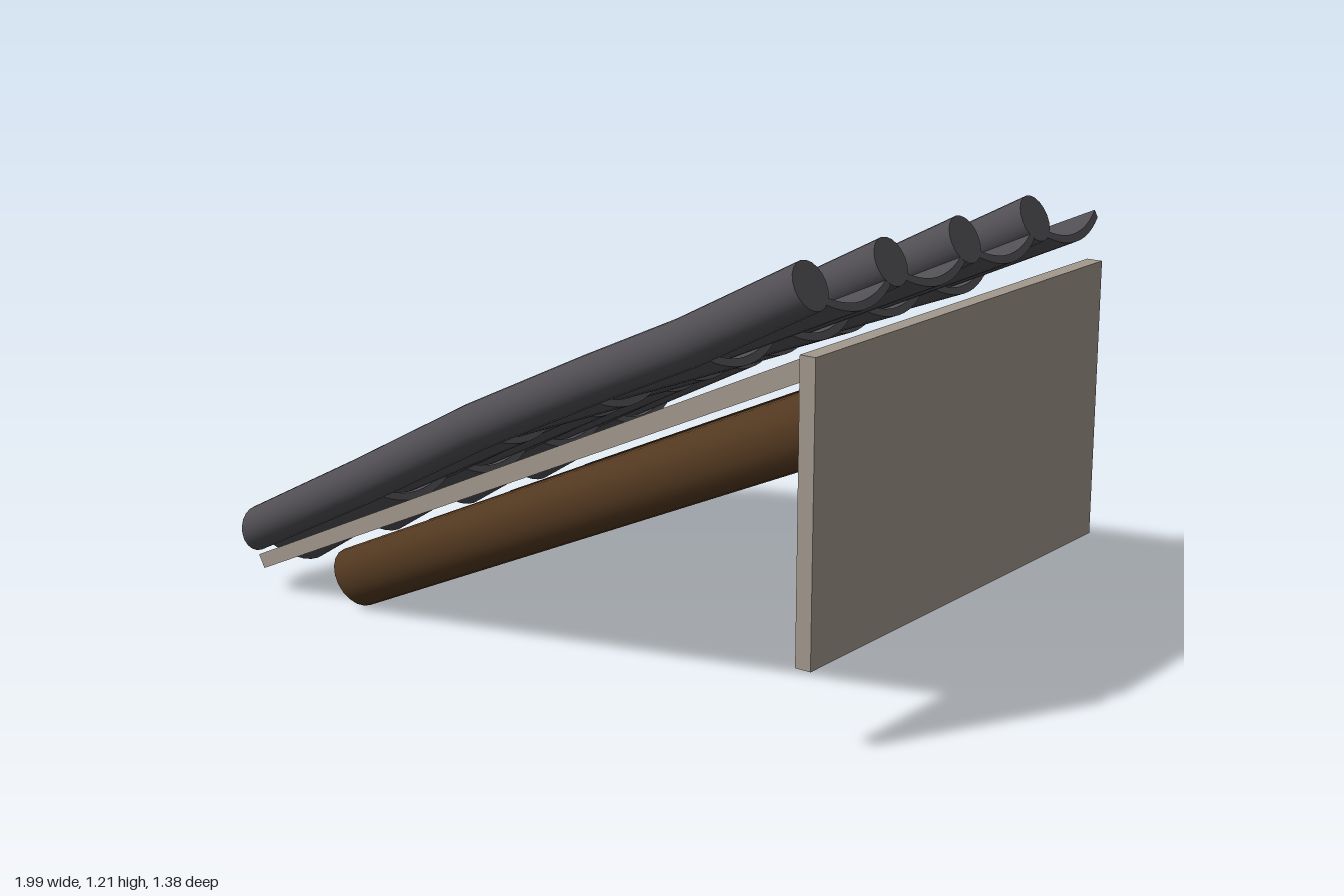
import * as THREE from 'three';
import { toCreasedNormals } from 'three/addons/utils/BufferGeometryUtils.js';

const tileMat = new THREE.MeshStandardMaterial({ name: 'slate tile', color: 0x504e53 });
const plasterMat = new THREE.MeshStandardMaterial({ name: 'pale board', color: 0xa3998e });
const woodMat = new THREE.MeshStandardMaterial({ name: 'dark wood', color: 0x523820 });

// Skins a list of stations running towards +x. Each station is
// { x, y, tilt, section }, where section lists [up, z] pairs, counter-clockwise seen from +x.
function loft(stations, crease = 0.7) {
  const pos = [], index = [], m = stations[0].section.length;
  for (const { x, y, tilt, section } of stations) {
    for (const [v, z] of section) pos.push(x - Math.sin(tilt) * v, y + Math.cos(tilt) * v, z);
  }
  for (let i = 0; i < stations.length - 1; i++) {
    for (let j = 0; j < m; j++) {
      const k = (j + 1) % m;
      const a = i * m + j, b = i * m + k, c = a + m, d = b + m;
      index.push(a, b, d, a, d, c);
    }
  }
  // End caps, bridged across the section
  const last = (stations.length - 1) * m;
  for (let j = 0; j < m / 2 - 1; j++) {
    const [a, b, c, d] = [j, j + 1, m - 2 - j, m - 1 - j];
    index.push(a, c, b, a, d, c);
    index.push(last + a, last + b, last + c, last + a, last + c, last + d);
  }
  const g = new THREE.BufferGeometry();
  g.setAttribute('position', new THREE.Float32BufferAttribute(pos, 3));
  g.setIndex(index);
  return toCreasedNormals(g, crease);
}

// Oval section: half height, half width
function oval(h, w, sides = 20) {
  return Array.from({ length: sides }, (_, i) => {
    const t = (i / sides) * Math.PI * 2;
    return [Math.cos(t) * h, Math.sin(t) * w];
  });
}

// Sagging pan tile section; extra thickens the middle of the underside
function pan(half, depth, extra = 0, n = 12) {
  const top = [], bottom = [];
  for (let i = 0; i <= n; i++) {
    const s = (i / n) * 2 - 1;
    top.push([depth * s * s + 0.022, s * half]);
    bottom.unshift([depth * s * s - extra * (1 - s * s), s * half]);
  }
  return [...top, ...bottom];
}

function add(group, name, geometry, material, z = 0) {
  const mesh = new THREE.Mesh(geometry, material);
  mesh.name = name;
  mesh.position.z = z;
  group.add(mesh);
  return mesh;
}

export function createModel() {
  const model = new THREE.Group();
  model.name = 'tiledAwning';

  // Upright wall board
  add(model, 'wallBoard', new THREE.BoxGeometry(0.045, 0.775, 1.345), plasterMat)
    .position.set(0.972, 0.6075, 0);

  // Sloping deck board
  const profile = new THREE.Shape([
    new THREE.Vector2(-0.912, 0.068), new THREE.Vector2(0.955, 0.93),
    new THREE.Vector2(0.955, 0.988), new THREE.Vector2(-0.932, 0.105),
  ]);
  const deck = new THREE.ExtrudeGeometry(profile, { depth: 1.335, bevelEnabled: false });
  add(model, 'deckBoard', deck, plasterMat, -0.665);

  // Rafters beneath the deck
  const rafter = loft([
    { x: -0.64, y: 0.073, tilt: 0.6, section: oval(0.088, 0.077) },
    { x: 0.952, y: 0.806, tilt: 0, section: oval(0.1, 0.077) },
  ]);
  for (const z of [0.567, 0.217, -0.137, -0.487]) add(model, 'rafter', rafter, woodMat, z);

  // Round ridge tiles following a slightly wavy slope
  const path = [
    [-0.978, 0.164, 0.19], [-0.548, 0.387, 0.48], [-0.12, 0.62, 0.47],
    [0.28, 0.815, 0.45], [0.583, 0.957, 0.46], [0.945, 1.15, 0.47],
  ];
  const ridge = loft(path.map(([x, y, tilt]) => ({ x, y, tilt, section: oval(0.064, 0.062) })));
  for (const z of [0.627, 0.291, -0.045, -0.39]) add(model, 'ridgeTile', ridge, tileMat, z);

  // Overlapping pan tiles: lower x, y and upper x, y of each course
  const courses = [
    [-0.95, 0.09, -0.49, 0.31], [-0.52, 0.325, -0.085, 0.548],
    [-0.11, 0.558, 0.277, 0.712], [0.255, 0.725, 0.645, 0.878],
    [0.59, 0.885, 0.985, 1.068],
  ];
  courses.forEach(([x0, y0, x1, y1], i) => {
    const first = i === 0;
    const geometry = loft([
      { x: x0, y: y0, tilt: first ? 0.65 : 0.45, section: pan(0.148, 0.048, first ? 0.06 : 0) },
      { x: x1, y: y1, tilt: 0.45, section: pan(0.148, 0.045) },
    ]);
    for (const z of [0.46, 0.124, -0.213, -0.542]) add(model, 'panTile', geometry, tileMat, z);
  });

  return model;
}
